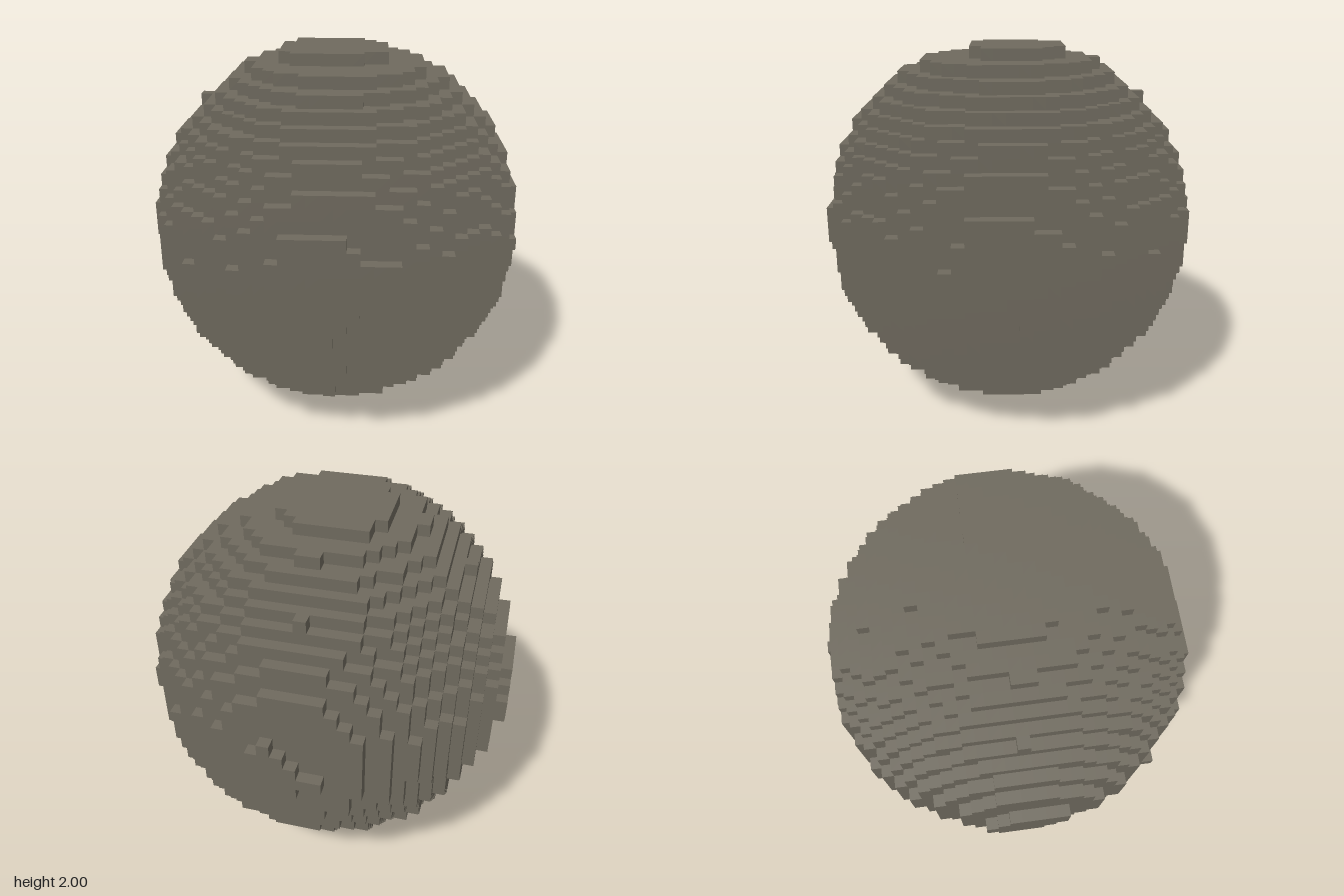
import * as THREE from 'three';

const N = 15;                 // blocks run from -15 to 15 on each axis
const S = 2 / (2 * N + 1);    // block size
const C = 0.3;                // slight offset of the ball's centre, in blocks
const R2 = 242.5;             // squared radius, in blocks

// Outermost layer on each side: [row, first, last] runs of blocks.
// Rows and columns are (y, x) for z, (y, z) for x and (z, x) for y.
const caps = {
  z15: [[4, -3, 1], [3, -3, 2], [2, -4, 5], [1, -4, 5], [0, -4, 5], [-1, -3, 4], [-2, -3, 2], [-3, -3, 1], [-4, 0, 0]],
  'z-15': [[2, 2, 2], [1, 1, 3], [0, 0, 3], [-1, -2, 3], [-2, 0, 2]],
  x15: [[4, -1, 3], [3, -3, 3], [2, -4, 4], [1, -4, 4], [0, -4, 5], [-1, -4, 4], [-2, -3, 4], [-3, -2, 3], [-4, -1, -1]],
  'x-15': [[2, -1, 3], [1, -2, 3], [0, -3, 3], [-1, -3, 2], [-2, -2, 1]],
  y15: [[-4, -3, 2], [-3, -3, 3], [-2, -4, 4], [-1, -4, 4], [0, -4, 4], [1, -4, 4], [2, -4, 4], [3, -3, 2]],
  'y-15': [[-2, 0, 1], [-1, -1, 2], [0, -2, 3], [1, -2, 2]],
};

const inCap = (key, row, col) => caps[key].some(([r, a, b]) => r === row && col >= a && col <= b);

function solid(x, y, z) {
  if (Math.max(Math.abs(x), Math.abs(y), Math.abs(z)) > N) return false;
  if (Math.abs(z) === N) return inCap('z' + z, y, x);
  if (Math.abs(x) === N) return inCap('x' + x, y, z);
  if (Math.abs(y) === N) return inCap('y' + y, z, x);
  return (x - C) ** 2 + (y - C) ** 2 + (z - C) ** 2 <= R2;
}

// Only the block faces that touch open air are built
function blockBall() {
  const positions = [], normals = [], index = [];
  const corners = [[-1, -1], [1, -1], [1, 1], [-1, 1]];
  const addFace = (cell, axis, sign) => {
    const base = positions.length / 3;
    const u = (axis + 1) % 3, v = (axis + 2) % 3;
    for (const [a, b] of corners) {
      const p = [...cell], n = [0, 0, 0];
      p[axis] += sign / 2;
      p[u] += (a * sign) / 2;
      p[v] += b / 2;
      n[axis] = sign;
      positions.push(p[0] * S, p[1] * S + 1, p[2] * S);
      normals.push(...n);
    }
    index.push(base, base + 1, base + 2, base, base + 2, base + 3);
  };
  for (let x = -N; x <= N; x++)
    for (let y = -N; y <= N; y++)
      for (let z = -N; z <= N; z++) {
        if (!solid(x, y, z)) continue;
        for (let axis = 0; axis < 3; axis++)
          for (const sign of [-1, 1]) {
            const next = [x, y, z];
            next[axis] += sign;
            if (!solid(...next)) addFace([x, y, z], axis, sign);
          }
      }
  const geometry = new THREE.BufferGeometry();
  geometry.setAttribute('position', new THREE.Float32BufferAttribute(positions, 3));
  geometry.setAttribute('normal', new THREE.Float32BufferAttribute(normals, 3));
  geometry.setIndex(index);
  return geometry;
}

export function createModel() {
  const group = new THREE.Group();
  group.name = 'blockBoulder';
  const stone = new THREE.MeshStandardMaterial({ color: 0x6f6a5e });
  stone.name = 'stone';
  const ball = new THREE.Mesh(blockBall(), stone);
  ball.name = 'steppedStoneBall';
  group.add(ball);
  return group;
}
